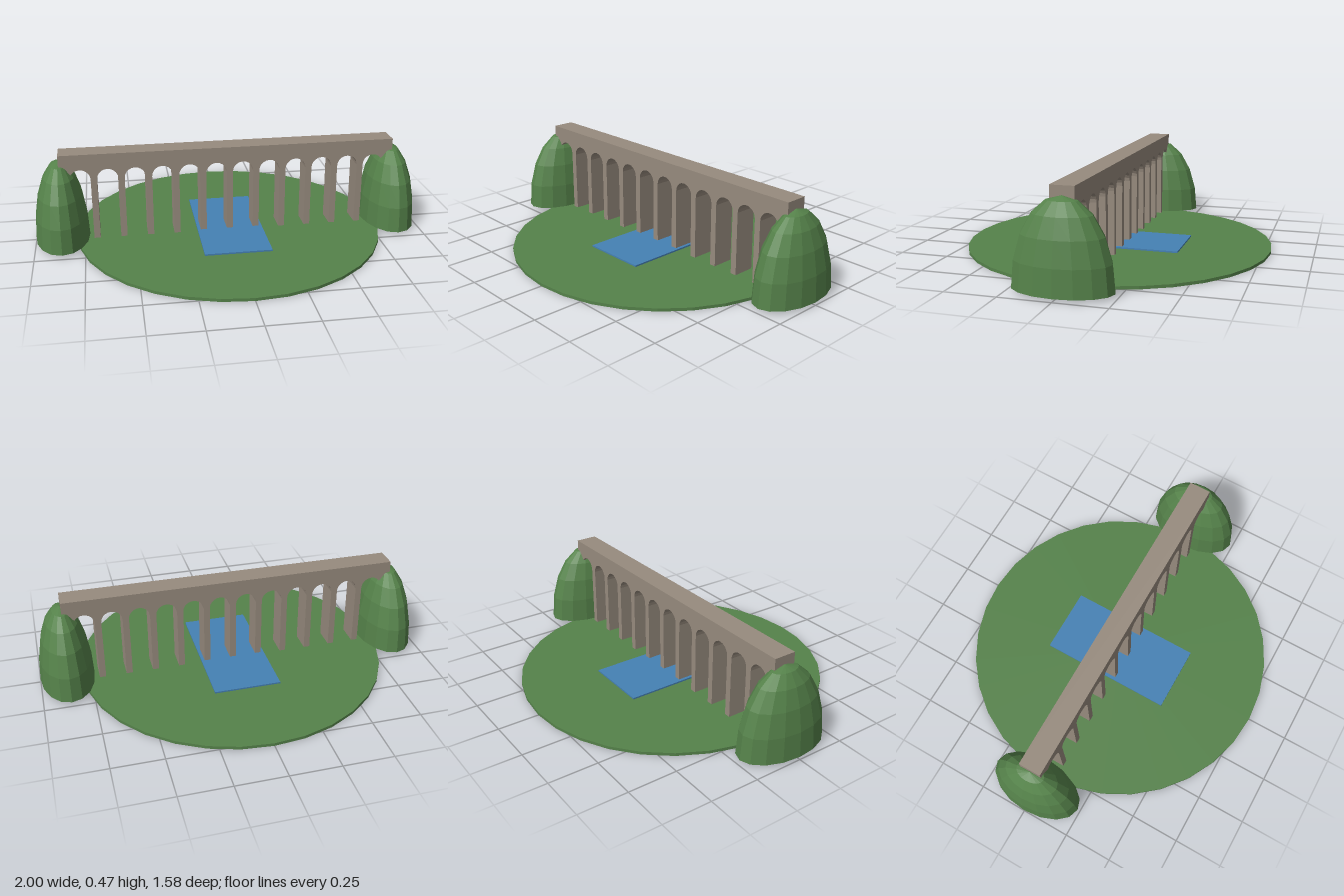
import * as THREE from 'three';

const grass = new THREE.MeshStandardMaterial({ color: 0x55824a, flatShading: true, side: THREE.DoubleSide });
grass.name = 'grass green';
const stone = new THREE.MeshStandardMaterial({ color: 0x978b7e });
stone.name = 'weathered stone';
const water = new THREE.MeshStandardMaterial({ color: 0x4581b4 });
water.name = 'river blue';

const GROUND = 0.015;

function add(group, name, geometry, material, x = 0, y = 0, z = 0) {
  const mesh = new THREE.Mesh(geometry, material);
  mesh.name = name;
  mesh.position.set(x, y, z);
  group.add(mesh);
  return mesh;
}

// Deck, piers and arches as one outline, extruded across the bridge
function viaductGeometry() {
  const half = 0.86, top = 0.47, crown = 0.39, depth = 0.114;
  const spacing = 0.1378, archCount = 12, radius = 0.053, steps = 10;
  const spring = crown - radius;
  const shape = new THREE.Shape();
  shape.moveTo(-half, GROUND);
  for (let i = 0; i < archCount; i++) {
    const cx = (i - (archCount - 1) / 2) * spacing;
    shape.lineTo(cx - radius, GROUND);
    for (let s = 0; s <= steps; s++) {
      const a = Math.PI * (1 - s / steps);
      shape.lineTo(cx + radius * Math.cos(a), spring + radius * Math.sin(a));
    }
    shape.lineTo(cx + radius, GROUND);
  }
  shape.lineTo(half, GROUND);
  shape.lineTo(half, top);
  shape.lineTo(-half, top);
  shape.closePath();
  const geometry = new THREE.ExtrudeGeometry(shape, { depth, bevelEnabled: false });
  geometry.translate(0, 0, -depth / 2);
  return geometry;
}

export function createModel() {
  const group = new THREE.Group();
  group.name = 'valleyViaduct';

  // Round meadow and the river crossing it
  add(group, 'meadow', new THREE.CylinderGeometry(0.79, 0.79, GROUND, 32), grass, 0, GROUND / 2);
  add(group, 'river', new THREE.BoxGeometry(0.34, 0.008, 0.695), water, 0, GROUND + 0.004);

  add(group, 'viaduct', viaductGeometry(), stone);

  // Steep open-bottomed hills at both ends
  const dome = new THREE.SphereGeometry(1, 16, 5, 0, Math.PI * 2, 0, Math.PI / 2);
  for (const side of [-1, 1]) {
    const hill = add(group, side > 0 ? 'leftHill' : 'rightHill', dome, grass, side * 0.863, GROUND);
    hill.scale.set(0.137, 0.413, 0.237);
  }

  return group;
}
